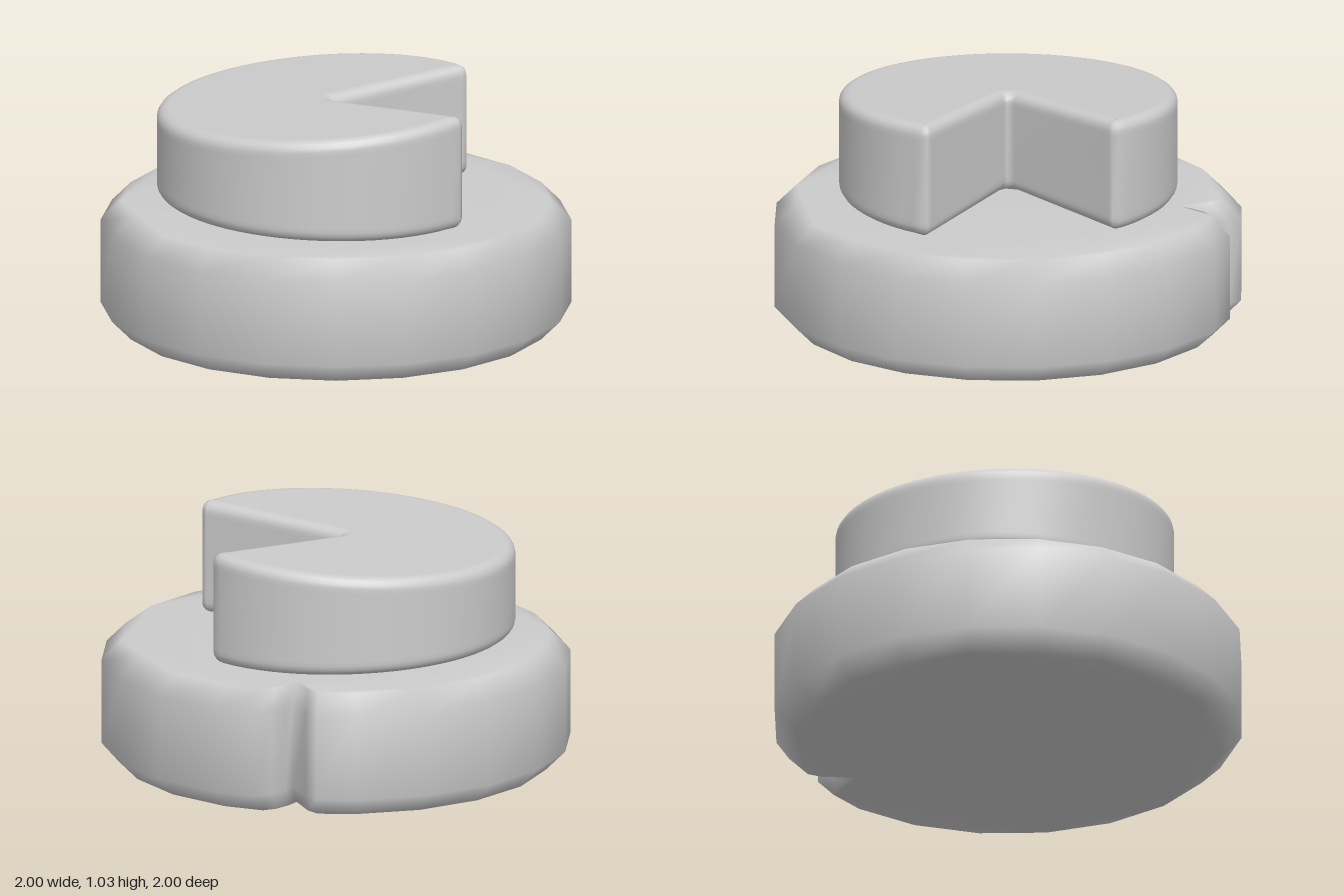
import * as THREE from 'three';

const material = new THREE.MeshStandardMaterial({ color: 0xcccccc });

// Move an outline ([x, z], counter-clockwise seen from above) inwards by d
function inset(outline, d) {
  const n = outline.length;
  const normal = (a, b) => new THREE.Vector2(b[1] - a[1], -(a[0] - b[0]) * -1).set(b[1] - a[1], a[0] - b[0]).normalize();
  return outline.map((p, i) => {
    const n1 = normal(outline[(i + n - 1) % n], p);
    const n2 = normal(p, outline[(i + 1) % n]);
    const k = d / Math.max(0.5, 1 + n1.dot(n2));
    return [p[0] + (n1.x + n2.x) * k, p[1] + (n1.y + n2.y) * k];
  });
}

// Smooth closed solid from stacked rings of [x, y, z] points, lowest first
function stackRings(rings) {
  const n = rings[0].length;
  const index = [];
  for (let r = 0; r < rings.length - 1; r++) {
    for (let i = 0; i < n; i++) {
      const j = (i + 1) % n;
      const a = r * n + i, b = r * n + j;
      index.push(a, b, b + n, a, b + n, a + n);
    }
  }
  const cap = ring => THREE.ShapeUtils.triangulateShape(ring.map(p => new THREE.Vector2(p[0], -p[2])), []);
  const top = (rings.length - 1) * n;
  for (const [a, b, c] of cap(rings[0])) index.push(a, c, b);
  for (const [a, b, c] of cap(rings[rings.length - 1])) index.push(top + a, top + b, top + c);
  const geometry = new THREE.BufferGeometry();
  geometry.setAttribute('position', new THREE.Float32BufferAttribute(rings.flat(2), 3));
  geometry.setIndex(index);
  geometry.computeVertexNormals();
  return geometry;
}

// Chamfered twenty-sided base with a pinched notch at the back
function createBase() {
  const outline = [];
  for (let i = 0; i < 20; i++) {
    if (i === 2) {
      outline.push([0.865, -0.48], [0.8, -0.5], [0.71, -0.49], [0.65, -0.47],
        [0.71, -0.62], [0.71, -0.69]);
    } else {
      const a = i * Math.PI / 10;
      outline.push([Math.cos(a), -Math.sin(a)]);
    }
  }
  const rings = [[0.915, 0], [1, 0.085], [1, 0.45], [0.915, 0.535]]
    .map(([s, y]) => outline.map(([x, z]) => [x * s, y, z * s]));
  return stackRings(rings);
}

// Wheel with a wedge cut out, thicker towards the cut
function createWheel() {
  const cx = -0.03, cz = -0.03, radius = 0.72, steps = 56;
  const outline = [];
  for (let i = 0; i <= steps; i++) {
    const a = THREE.MathUtils.degToRad(1 + 281 * i / steps);
    outline.push([cx + radius * Math.cos(a), cz - radius * Math.sin(a)]);
  }
  // Rounded corners and the two cut faces
  outline.push([0.165, 0.67], [0.188, 0.65], [0.187, 0.625],
    [-0.018, 0.008], [-0.016, -0.012], [0.012, -0.027],
    [0.645, 0.023], [0.67, 0.022], [0.684, 0]);

  const bevel = 0.045;
  const profile = [[bevel + 0.008, 0]];
  for (let i = 0; i <= 4; i++) {
    const a = i * Math.PI / 8;
    profile.push([bevel * (1 - Math.sin(a)), bevel * (1 - Math.cos(a))]);
  }
  profile.push([0, bevel + 0.02]);

  const bottom = (x, z) => 0.55 - 0.02 * (x + z);
  const top = (x, z) => 0.992 + 0.045 * (x + z);
  const ring = (d, height) => inset(outline, d).map(([x, z]) => [x, height(x, z), z]);
  const rings = [
    ...profile.map(([d, h]) => ring(d, (x, z) => bottom(x, z) + h)),
    ...[...profile].reverse().map(([d, h]) => ring(d, (x, z) => top(x, z) - h)),
  ];
  return stackRings(rings);
}

export function createModel() {
  const model = new THREE.Group();
  const parts = { notchedBase: createBase(), cutWheel: createWheel() };
  for (const [name, geometry] of Object.entries(parts)) {
    const mesh = new THREE.Mesh(geometry, material);
    mesh.name = name;
    model.add(mesh);
  }
  return model;
}
